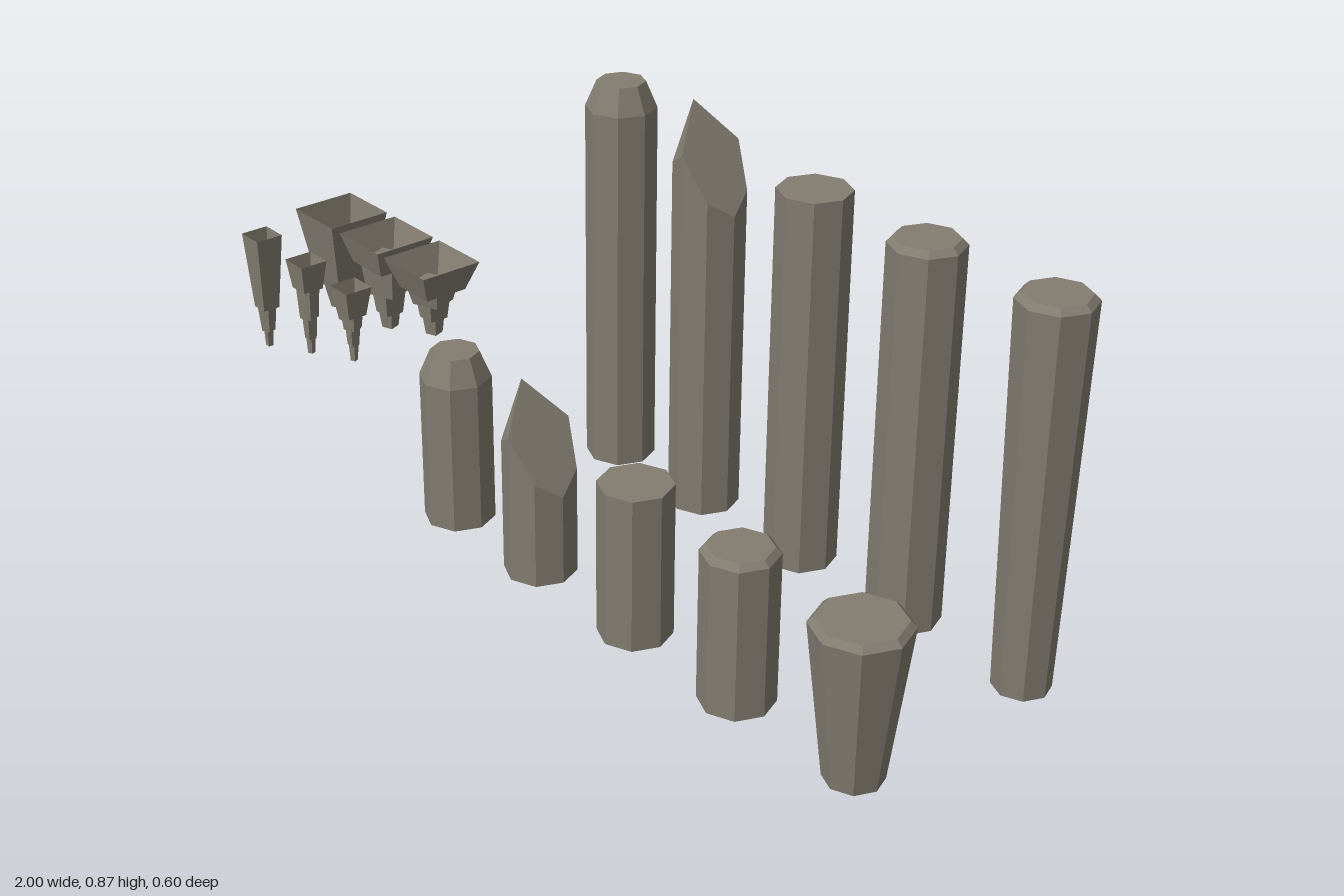
import * as THREE from 'three';
import { ConvexGeometry } from 'three/addons/geometries/ConvexGeometry.js';

const stone = new THREE.MeshStandardMaterial({ color: 0x827c70, flatShading: true, side: THREE.DoubleSide });
stone.name = 'stone';

// Eight-sided pillar from [radius, height] rings, closed at both ends
function pillar(name, x, z, rings) {
  const profile = [[0, rings[0][1]], ...rings, [0, rings[rings.length - 1][1]]];
  const geometry = new THREE.LatheGeometry(profile.map(([r, y]) => new THREE.Vector2(r, y)), 8);
  const mesh = new THREE.Mesh(geometry, stone);
  mesh.name = name;
  mesh.position.set(x, 0, z);
  return mesh;
}

// Pillar with a slanted, pointed break at its top; d lowers the break
function brokenPillar(x, z, d) {
  const r = 0.0735, c = r * Math.SQRT1_2;
  const points = [];
  for (let i = 0; i < 8; i++) {
    const a = (i * Math.PI) / 4;
    points.push(new THREE.Vector3(r * Math.cos(a), 0, r * Math.sin(a)));
  }
  const top = [[-c, 0.868, 0], [-r, 0.8, 0], [r, 0.66, 0]];
  for (const s of [-1, 1]) top.push([-c, 0.75, s * c], [0, 0.783, s * r], [c, 0.696, s * c]);
  top.forEach(([px, py, pz]) => points.push(new THREE.Vector3(px, py - d, pz)));
  const mesh = new THREE.Mesh(new ConvexGeometry(points), stone);
  mesh.name = 'brokenPillar';
  mesh.position.set(x, 0, z);
  return mesh;
}

// Hanging spike: stacked square tiers [top, bottom, topHalf, bottomHalf], the first open above
function hangingSpike(name, x, z, scale, tiers) {
  const group = new THREE.Group();
  group.name = name;
  tiers.forEach(([top, bottom, a, b], i) => {
    const geometry = new THREE.CylinderGeometry(a * Math.SQRT2, b * Math.SQRT2, top - bottom, 4, 1, i === 0);
    geometry.rotateY(Math.PI / 4);
    const tier = new THREE.Mesh(geometry, stone);
    tier.name = 'spikeTier' + (i + 1);
    tier.position.y = (top + bottom) / 2;
    tier.rotation.y = i % 2 ? 0.35 : 0;
    group.add(tier);
  });
  // Floor of the open first tier
  const [, y, , half] = tiers[0];
  const floor = new THREE.Mesh(new THREE.PlaneGeometry(half * 2, half * 2).rotateX(-Math.PI / 2), stone);
  floor.name = 'spikeFloor';
  floor.position.y = y;
  group.add(floor);
  group.position.set(x, 0, z);
  group.scale.set(scale, 1, scale);
  return group;
}

export function createModel() {
  const model = new THREE.Group();
  model.name = 'stonePillarsAndSpikes';
  const r = 0.0735;

  // Back row of tall pillars, front row of short ones
  for (const [z, d] of [[-0.225, 0], [0.205, 0.468]]) {
    const h = 0.79 - d;
    const wide = d ? 0.0925 : r;
    model.add(
      pillar('bevelledPillar', -0.24, z, [[r, 0], [r, h], [0.05, h + 0.055]]),
      brokenPillar(0.03, z, d),
      pillar('flatPillar', 0.32, z, [[r, 0], [r, h]]),
      pillar('trimmedPillar', 0.605, z, [[r, 0], [r, h - 0.012], [r - 0.012, h]]),
      pillar('taperedPillar', 0.903, z, [[0.056, 0], [wide, h - 0.012], [wide - 0.012, h]])
    );
  }

  // Three hanging spikes, each in a wide and a thin version
  const spikes = [
    [-0.927, [[0.4, 0.225, 0.073, 0.045], [0.25, 0.167, 0.038, 0.024], [0.18, 0.13, 0.019, 0.014]]],
    [-0.75, [[0.4, 0.335, 0.073, 0.054], [0.345, 0.265, 0.042, 0.034], [0.28, 0.215, 0.028, 0.021], [0.22, 0.18, 0.017, 0.013]]],
    [-0.58, [[0.4, 0.335, 0.073, 0.05], [0.345, 0.302, 0.04, 0.031], [0.31, 0.265, 0.026, 0.021], [0.27, 0.228, 0.017, 0.013]]],
  ];
  for (const [x, tiers] of spikes) {
    model.add(hangingSpike('wideSpike', x, 0.018, 1, tiers));
    model.add(hangingSpike('thinSpike', x, 0.225, 0.43, tiers));
  }
  return model;
}
